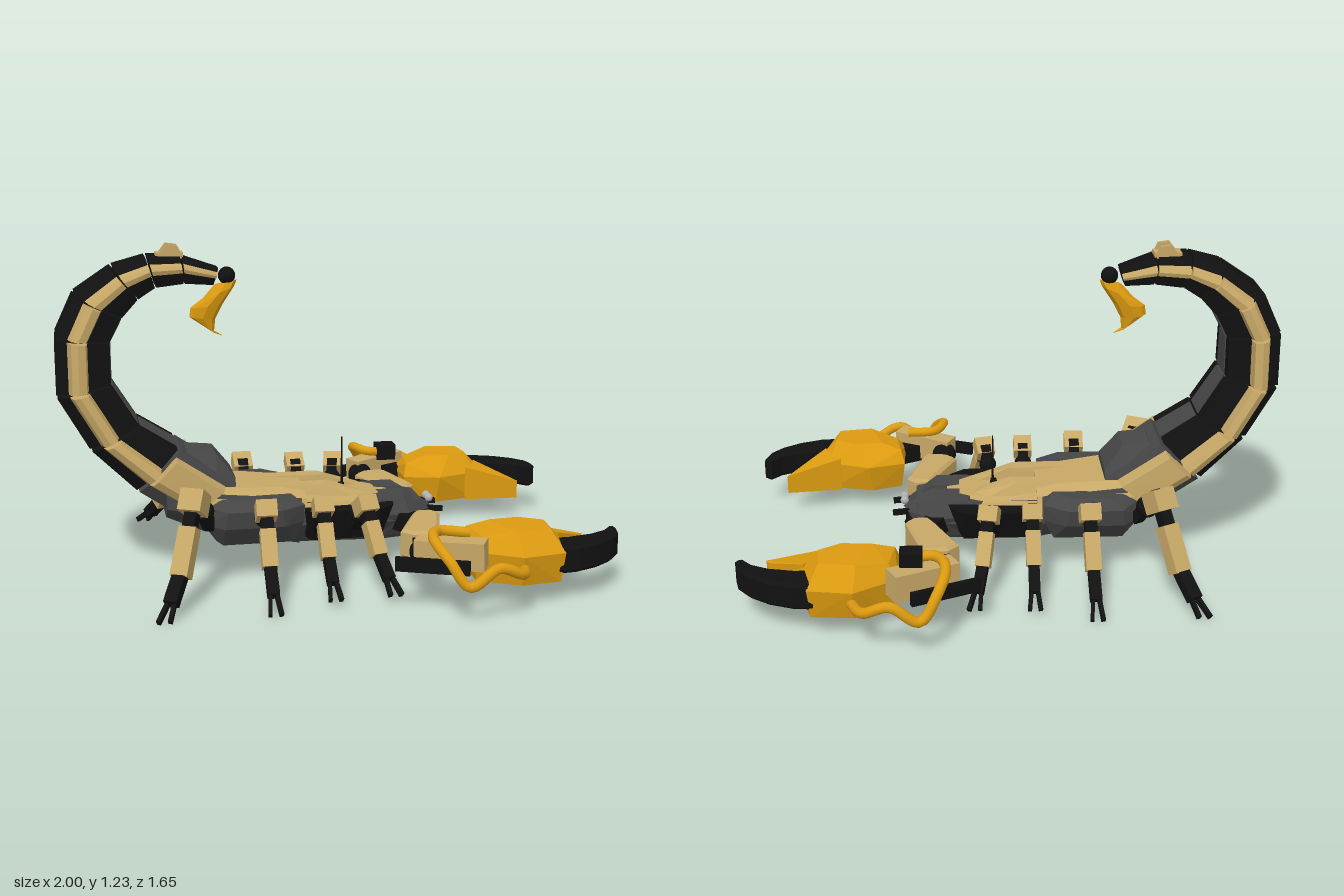
import * as THREE from 'three';
import { ConvexGeometry } from 'three/addons/geometries/ConvexGeometry.js';

const paint = (name, color) => {
  const m = new THREE.MeshStandardMaterial({ color });
  m.name = name;
  return m;
};

export function createModel() {
  const tan = paint('tan', 0xc6a766), black = paint('black', 0x111111), grey = paint('darkGrey', 0x464646),
    orange = paint('amber', 0xdb9a10), silver = paint('silver', 0xb0b0b0);
  const root = new THREE.Group();
  root.name = 'scorpion';

  const group = (name) => {
    const g = new THREE.Group();
    g.name = name;
    root.add(g);
    return g;
  };
  const add = (parent, name, geo, mat) => {
    const m = new THREE.Mesh(geo, mat);
    m.name = name;
    parent.add(m);
    return m;
  };
  const V = (p) => new THREE.Vector3(...p);
  // Faceted solid around a set of corners
  const hull = (parent, name, pts, mat) => add(parent, name, new ConvexGeometry(pts.map(V)), mat);
  // Solid from rings of [x, z] outlines, each at its own height
  const slab = (parent, name, rings, mat) =>
    hull(parent, name, rings.flatMap(([y, pts]) => pts.map(([x, z]) => [x, y, z])), mat);
  // Symmetric solid from stations [x, yBottom, yTop, halfBottom, halfMiddle, halfTop]
  const body = (parent, name, stations, mat) => hull(parent, name, stations.flatMap(([x, b, t, wb, wm, wt]) =>
    [-1, 1].flatMap((s) => [[x, b, s * wb], [x, (b + t) / 2, s * wm], [x, t, s * wt]])), mat);
  // Box running from a to b
  const limb = (parent, name, a, b, w, h, mat) => {
    const A = V(a), B = V(b);
    const m = add(parent, name, new THREE.BoxGeometry(w, h, A.distanceTo(B)), mat);
    m.position.copy(A).add(B).multiplyScalar(0.5);
    m.lookAt(B);
    return m;
  };
  const ball = (parent, name, p, r, mat) =>
    add(parent, name, new THREE.SphereGeometry(r, 16, 12), mat).position.set(...p);

  // ---- Body ----
  const torso = group('body');
  body(torso, 'rearHull', [[-0.62, 0.23, 0.33, 0.1, 0.17, 0.17], [-0.48, 0.17, 0.33, 0.11, 0.19, 0.18],
    [-0.12, 0.1, 0.29, 0.1, 0.19, 0.16]], grey);
  body(torso, 'frontHull', [[-0.14, 0.1, 0.27, 0.08, 0.15, 0.14], [0.2, 0.09, 0.26, 0.08, 0.14, 0.12],
    [0.36, 0.09, 0.24, 0.05, 0.1, 0.08]], grey);
  body(torso, 'rearTopPlate', [[-0.56, 0.28, 0.34, 0.2, 0.2, 0.16], [-0.4, 0.28, 0.34, 0.18, 0.18, 0.13],
    [-0.1, 0.26, 0.315, 0.16, 0.15, 0.09]], tan);
  body(torso, 'frontTopPlate', [[-0.12, 0.24, 0.29, 0.15, 0.14, 0.12], [0.1, 0.24, 0.28, 0.14, 0.13, 0.11],
    [0.24, 0.23, 0.265, 0.07, 0.06, 0.04]], tan);
  body(torso, 'tailBaseCover', [[-0.57, 0.34, 0.44, 0.12, 0.12, 0.08], [-0.53, 0.34, 0.47, 0.12, 0.12, 0.07],
    [-0.43, 0.33, 0.46, 0.13, 0.12, 0.07], [-0.36, 0.32, 0.37, 0.12, 0.11, 0.09]], grey);
  add(torso, 'antenna', new THREE.CylinderGeometry(0.003, 0.005, 0.21, 6), black).position.set(0.063, 0.375, 0);
  add(torso, 'antennaBase', new THREE.CylinderGeometry(0.012, 0.015, 0.03, 8), black).position.set(0.06, 0.285, 0);

  for (const s of [-1, 1]) {
    const at = (pts) => pts.map(([x, z]) => [x, z * s]);
    slab(torso, 'sidePod', [
      [0.14, at([[-0.44, 0.14], [-0.16, 0.12], [-0.42, 0.2], [-0.16, 0.2]])],
      [0.22, at([[-0.49, 0.19], [-0.42, 0.27], [-0.2, 0.27], [-0.12, 0.21]])],
      [0.285, at([[-0.48, 0.18], [-0.41, 0.28], [-0.21, 0.28], [-0.12, 0.22], [-0.13, 0.15]])],
      [0.31, at([[-0.44, 0.16], [-0.38, 0.22], [-0.22, 0.22], [-0.16, 0.15]])]], grey);
    slab(torso, 'shoulderPlate', [
      [0.13, at([[-0.1, 0.12], [0.2, 0.1], [-0.09, 0.17], [0.18, 0.17]])],
      [0.25, at([[-0.11, 0.12], [0.24, 0.1], [-0.1, 0.21], [0.17, 0.21], [0.23, 0.16]])]], black);
    slab(torso, 'backRail', [
      [0.28, at([[-0.28, 0.04], [-0.25, 0.12], [0.08, 0.12], [0.14, 0.08], [0.12, 0.03]])],
      [0.325, at([[-0.26, 0.05], [-0.23, 0.1], [-0.02, 0.1], [0.0, 0.04]])]], tan);
    slab(torso, 'bellyPanel', [
      [0.12, at([[-0.02, 0.1], [0.16, 0.1], [0.0, 0.135], [0.14, 0.135]])],
      [0.2, at([[-0.04, 0.1], [0.18, 0.1], [-0.02, 0.16], [0.16, 0.16]])]], tan);
    // Head lobes, jaws and eyes
    slab(torso, 'headLobe', [
      [0.11, at([[0.18, 0.02], [0.36, 0.015], [0.2, 0.1], [0.34, 0.09]])],
      [0.2, at([[0.13, 0.01], [0.41, 0.012], [0.15, 0.14], [0.3, 0.14], [0.39, 0.07]])],
      [0.27, at([[0.13, 0.02], [0.3, 0.015], [0.16, 0.11], [0.28, 0.11]])]], grey);
    limb(torso, 'feeler', [0.34, 0.2, s * 0.055], [0.45, 0.19, s * 0.055], 0.016, 0.02, black);
    limb(torso, 'jaw', [0.3, 0.13, s * 0.05], [0.4, 0.12, s * 0.03], 0.04, 0.06, black);
    ball(torso, 'eye', [0.405, 0.226, s * 0.02], 0.016, silver);
  }

  // ---- Tail: joints as [outer x, outer y, inner x, inner y, half width] ----
  const tail = group('tail');
  const joints = [[-0.56, 0.23, -0.38, 0.36, 0.215], [-0.72, 0.34, -0.57, 0.49, 0.228], [-0.885, 0.5, -0.71, 0.58, 0.212],
    [-1, 0.7, -0.805, 0.735, 0.198], [-1, 0.91, -0.805, 0.89, 0.18], [-0.93, 1.06, -0.76, 0.975, 0.165],
    [-0.79, 1.155, -0.7, 1.04, 0.148], [-0.665, 1.19, -0.635, 1.08, 0.13], [-0.54, 1.187, -0.53, 1.09, 0.105],
    [-0.4, 1.14, -0.42, 1.08, 0.07]];
  for (let i = 0; i < joints.length - 1; i++) {
    // A section is a list of [depth, side] pairs swept between two joints
    const sweep = (pairs) => [0.03, 0.97].flatMap((t) => {
      const [ox, oy, ix, iy, w] = joints[i].map((a, k) => a + (joints[i + 1][k] - a) * t);
      return pairs.map(([u, z]) => [ox + (ix - ox) * u, oy + (iy - oy) * u, z * w]);
    });
    const both = (pairs) => pairs.flatMap(([u, z]) => [[u, z], [u, -z]]);
    hull(tail, 'tailCore', sweep(both([[0, 0.52], [0.3, 0.72], [0.6, 0.72], [1, 0.58]])), i ? black : grey);
    if (i) hull(tail, 'tailInnerPlate', sweep(both([[0.95, 0.32], [1.02, 0.32]])), grey);
    const end = i ? 0.56 : 0.85;
    for (const s of [-1, 1]) {
      hull(tail, 'tailSidePlate', sweep([[0.22, 0.64 * s], [0.3, 0.93 * s], [0.42, s], [end, 0.95 * s], [end + 0.04, 0.66 * s]]), tan);
    }
  }
  for (const s of [-1, 1]) {
    hull(tail, 'tailFin', [[-0.63, 1.18, s * 0.025], [-0.53, 1.18, s * 0.025], [-0.59, 1.23, s * 0.025], [-0.55, 1.225, s * 0.025],
      [-0.63, 1.18, s * 0.04], [-0.53, 1.18, s * 0.04], [-0.59, 1.23, s * 0.04], [-0.55, 1.225, s * 0.04]], tan);
  }
  limb(tail, 'tailFinBase', [-0.63, 1.19, 0], [-0.53, 1.19, 0], 0.07, 0.02, tan);
  ball(tail, 'stingerJoint', [-0.37, 1.11, 0], 0.032, black);

  // Stinger: [centre x, centre y, radius along the curve, half width]
  const rings = [[-0.375, 1.085, 0.042, 0.02], [-0.4, 1.05, 0.062, 0.033], [-0.445, 1.0, 0.06, 0.036],
    [-0.462, 0.955, 0.048, 0.03], [-0.44, 0.915, 0.026, 0.018], [-0.39, 0.888, 0.002, 0.002]];
  const tilt = [0.2, 0.35, 0.1, -0.1, -0.7, -1];
  for (let i = 0; i < rings.length - 1; i++) {
    hull(tail, 'stinger', [i, i + 1].flatMap((k) => {
      const [x, y, r, w] = rings[k];
      return Array.from({ length: 8 }, (_, n) => {
        const a = n * Math.PI / 4, c = Math.cos(a) * r;
        return [x + c * Math.cos(tilt[k]), y + c * Math.sin(tilt[k]), Math.sin(a) * w];
      });
    }), orange);
  }

  // ---- Legs: hip, knee, ankle and toe as [x, y, z] ----
  const legs = [
    [[-0.49, 0.27, 0.25], [-0.53, 0.37, 0.32], [-0.6, 0.12, 0.46], [-0.67, 0.012, 0.6], 1.15],
    [[-0.28, 0.24, 0.25], [-0.28, 0.32, 0.32], [-0.285, 0.13, 0.45], [-0.288, 0.01, 0.6], 1],
    [[-0.07, 0.23, 0.24], [-0.07, 0.315, 0.3], [-0.07, 0.14, 0.42], [-0.068, 0.03, 0.55], 0.95],
    [[0.07, 0.23, 0.24], [0.085, 0.31, 0.3], [0.115, 0.14, 0.42], [0.15, 0.03, 0.54], 0.95]];
  for (const s of [-1, 1]) {
    for (const [h, k, a, t, size] of legs) {
      const leg = group('leg');
      const [hip, knee, ankle, toe] = [h, k, a, t].map(([x, y, z]) => [x, y, z * s]);
      const mix = (p, q, f) => p.map((c, i) => c + (q[i] - c) * f);
      ball(leg, 'hipJoint', mix(hip, knee, 0.25), 0.036 * size, black);
      limb(leg, 'thigh', mix(hip, knee, -0.5), knee, 0.04, 0.04, black);
      limb(leg, 'kneeCap', mix(knee, ankle, -0.05), mix(knee, ankle, 0.22), 0.075 * size, 0.08 * size, tan);
      limb(leg, 'kneeLink', mix(knee, ankle, 0.15), mix(knee, ankle, 0.5), 0.045, 0.045, black);
      limb(leg, 'shin', mix(knee, ankle, 0.4), ankle, 0.056 * size, 0.05 * size, tan);
      const heel = mix(ankle, toe, 0.6);
      limb(leg, 'foot', mix(knee, ankle, 0.92), heel, 0.042 * size, 0.035 * size, black);
      for (const d of [-1, 1]) {
        limb(leg, 'toe', [heel[0] + d * 0.012, heel[1], heel[2]], [toe[0] + d * 0.02, toe[1], toe[2]], 0.014, 0.02, black);
      }
    }
  }

  // ---- Arms and pincers ----
  for (const s of [-1, 1]) {
    const arm = group(s > 0 ? 'leftArm' : 'rightArm');
    const at = (pts) => pts.map(([x, z]) => [x, z * s]);
    // Bevelled flat part cut from an [x, z] outline
    const cut = (name, pts, y0, y1, mat) => {
      const bevel = 0.012;
      const geo = new THREE.ExtrudeGeometry(new THREE.Shape(at(pts).map((p) => new THREE.Vector2(...p))), {
        depth: y1 - y0 - 2 * bevel, bevelThickness: bevel, bevelSize: bevel, bevelOffset: -bevel, bevelSegments: 1 });
      geo.rotateX(Math.PI / 2).translate(0, y1 - bevel, 0);
      add(arm, name, geo, mat);
    };
    limb(arm, 'shoulderLink', [0.26, 0.17, s * 0.08], [0.33, 0.17, s * 0.2], 0.07, 0.07, black);
    ball(arm, 'shoulderJoint', [0.335, 0.17, s * 0.21], 0.055, black);
    cut('upperArm', [[0.29, 0.2], [0.31, 0.165], [0.37, 0.165], [0.4, 0.2], [0.34, 0.41], [0.32, 0.44], [0.24, 0.43], [0.2, 0.39]].map(([x, z]) => [x, z]), 0.115, 0.225, tan);
    limb(arm, 'elbowLink', [0.27, 0.17, s * 0.4], [0.25, 0.18, s * 0.54], 0.06, 0.06, black);
    ball(arm, 'elbowJoint', [0.25, 0.18, s * 0.525], 0.05, black);
    limb(arm, 'forearm', [0.22, 0.19, s * 0.54], [0.44, 0.2, s * 0.655], 0.08, 0.1, tan);
    limb(arm, 'wrist', [0.36, 0.17, s * 0.6], [0.46, 0.17, s * 0.55], 0.07, 0.07, black);
    limb(arm, 'forearmBar', [0.13, 0.17, s * 0.6], [0.37, 0.17, s * 0.7], 0.018, 0.05, black);
    if (s < 0) limb(arm, 'sensorBlock', [0.33, 0.265, -0.58], [0.41, 0.265, -0.58], 0.07, 0.065, black);

    slab(arm, 'palm', [
      [0.08, at([[0.43, 0.43], [0.55, 0.39], [0.72, 0.43], [0.77, 0.5], [0.72, 0.645], [0.57, 0.66], [0.43, 0.58]])],
      [0.19, at([[0.415, 0.41], [0.56, 0.37], [0.73, 0.43], [0.77, 0.5], [0.73, 0.66], [0.57, 0.685], [0.415, 0.59]])],
      [0.24, at([[0.43, 0.44], [0.45, 0.57]])],
      [0.265, at([[0.51, 0.46], [0.62, 0.45], [0.7, 0.5], [0.69, 0.6], [0.56, 0.62]])]], orange);
    hull(arm, 'fixedFinger', at([[0.68, 0.405], [0.75, 0.52]]).flatMap(([x, z]) => [[x, 0.08, z], [x, 0.22, z]])
      .concat(at([[0.9, 0.37], [0.89, 0.39]]).flatMap(([x, z]) => [[x, 0.085, z], [x, 0.16, z]])), orange);
    cut('movingFinger', [[0.71, 0.655], [0.78, 0.65], [0.87, 0.615], [0.94, 0.565], [0.985, 0.51], [1, 0.45], [0.97, 0.44],
      [0.93, 0.485], [0.87, 0.515], [0.78, 0.535], [0.72, 0.535]], 0.11, 0.21, black);
    // Hose looping from the forearm to the palm
    const path = [[0.4, 0.26, 0.58], [0.29, 0.27, 0.57], [0.25, 0.27, 0.66], [0.28, 0.22, 0.76], [0.34, 0.14, 0.8],
      [0.44, 0.2, 0.8], [0.53, 0.165, 0.775], [0.58, 0.14, 0.66]].map(([x, y, z]) => V([x, y, z * s]));
    add(arm, 'hose', new THREE.TubeGeometry(new THREE.CatmullRomCurve3(path), 48, 0.019, 10), orange);
  }
  return root;
}
